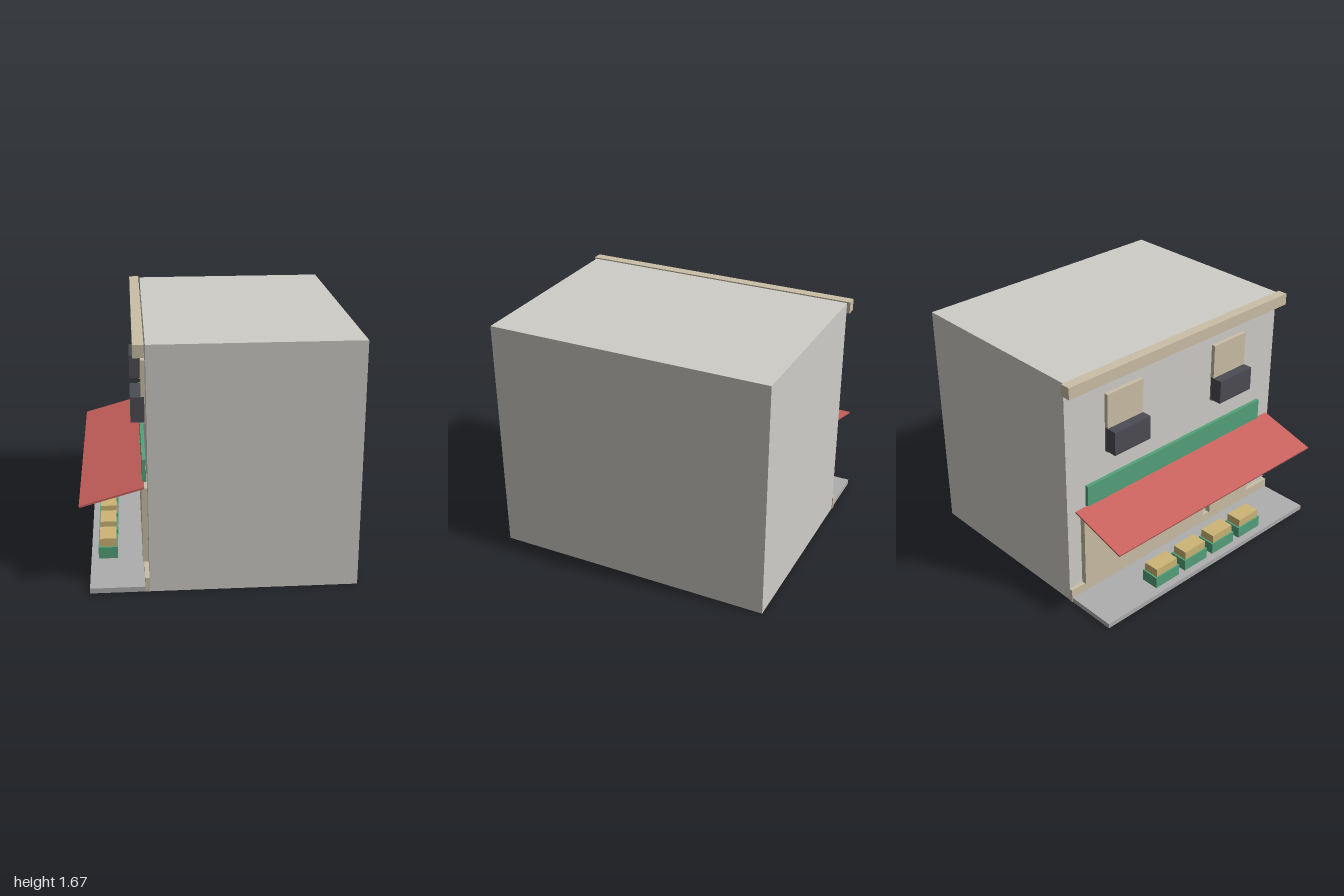
import * as THREE from 'three';

const COLORS = {
  wall: 0xcfcdc8, stone: 0xcbbfa6, paving: 0xaeaeae, planter: 0x4c4c54,
  green: 0x55a27a, awning: 0xc9605c, produce: 0xcdb575,
};

export function createModel() {
  const model = new THREE.Group();
  model.name = 'shopBuilding';
  const mats = {};
  for (const [key, color] of Object.entries(COLORS)) {
    mats[key] = new THREE.MeshStandardMaterial({ color, flatShading: true });
  }

  // Box given by its [min, max] range on each axis
  const box = (name, mat, [x0, x1], [y0, y1], [z0, z1], parent = model) => {
    const mesh = new THREE.Mesh(new THREE.BoxGeometry(x1 - x0, y1 - y0, z1 - z0), mats[mat]);
    mesh.position.set((x0 + x1) / 2, (y0 + y1) / 2, (z0 + z1) / 2);
    mesh.name = name;
    parent.add(mesh);
    return mesh;
  };

  // Main volume, pavement and roof cornice; the shop side looks toward -x
  box('buildingBody', 'wall', [-0.467, 0.905], [0, 1.667], [-0.98, 0.98]);
  box('pavement', 'paving', [-0.855, -0.467], [0, 0.035], [-0.98, 0.98]);
  box('cornice', 'stone', [-0.545, -0.475], [1.59, 1.672], [-1, 1]);

  // Ground floor: plinth, shop window and door
  box('plinth', 'stone', [-0.495, -0.466], [0.001, 0.1], [-0.985, 0.985]);
  box('shopWindow', 'stone', [-0.505, -0.466], [0.1, 0.63], [-0.87, 0.27]);
  box('shopDoor', 'stone', [-0.505, -0.466], [0.1, 0.63], [0.34, 0.75]);

  // Sign board above the awning
  box('signBoard', 'green', [-0.5, -0.475], [0.71, 0.865], [-0.83, 0.83]);

  // Sloping awning, an extruded thin parallelogram
  const slope = new THREE.Shape([
    new THREE.Vector2(-0.491, 0.716), new THREE.Vector2(-0.908, 0.598),
    new THREE.Vector2(-0.905, 0.586), new THREE.Vector2(-0.488, 0.704),
  ]);
  const awning = new THREE.Mesh(
    new THREE.ExtrudeGeometry(slope, { depth: 1.86, bevelEnabled: false }), mats.awning);
  awning.position.z = -0.93;
  awning.name = 'awning';
  model.add(awning);

  // Upper windows with planter boxes
  for (const z of [-0.493, 0.488]) {
    const bay = new THREE.Group();
    bay.name = 'upperWindow';
    bay.position.z = z;
    box('windowPanel', 'stone', [-0.495, -0.466], [1.045, 1.472], [-0.155, 0.155], bay);
    box('planterBox', 'planter', [-0.565, -0.473], [1.053, 1.225], [-0.156, 0.156], bay);
    model.add(bay);
  }

  // Row of produce crates on the pavement
  for (let i = 0; i < 4; i++) {
    const stall = new THREE.Group();
    stall.name = 'produceCrate';
    stall.position.z = -0.39 + i * 0.277;
    box('crate', 'green', [-0.805, -0.673], [0.002, 0.118], [-0.11, 0.11], stall);
    box('produce', 'produce', [-0.795, -0.682], [0.118, 0.178], [-0.097, 0.097], stall);
    model.add(stall);
  }
  return model;
}
